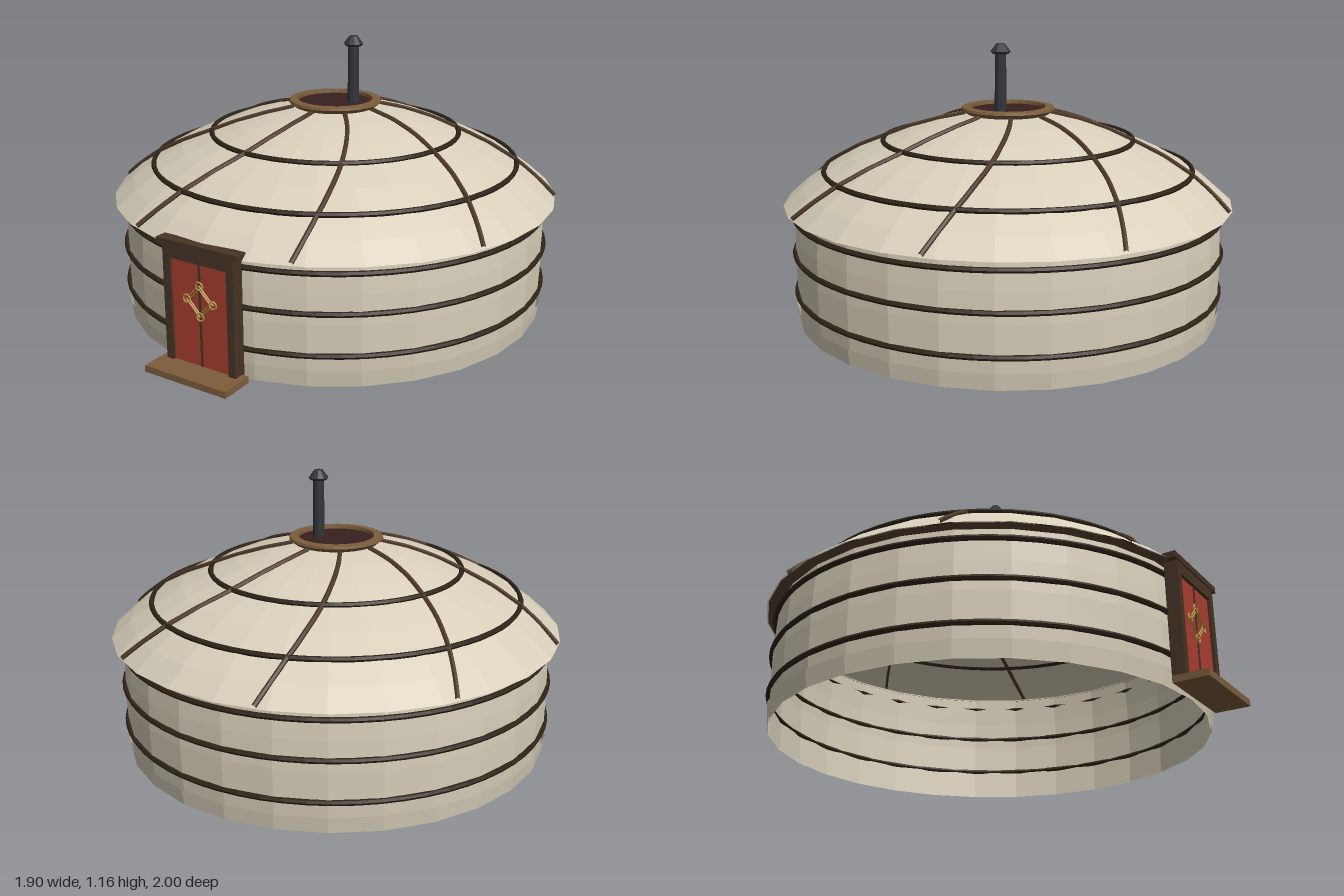
import * as THREE from 'three';

const CZ = -0.05; // tent axis, the doorstep pushes it back
const SIDES = 28;

const mat = (name, color, extra = {}) => {
  const m = new THREE.MeshStandardMaterial({ color, flatShading: true, ...extra });
  m.name = name;
  return m;
};

// roof section from crown to eave, as [radius, height]
const ROOF = [[0.16, 0.862], [0.3, 0.832], [0.42, 0.795], [0.53, 0.75], [0.66, 0.695], [0.78, 0.629], [0.87, 0.565], [0.95, 0.495]];

function roofHeight(r) {
  for (let i = 1; i < ROOF.length; i++) {
    const [r0, y0] = ROOF[i - 1], [r1, y1] = ROOF[i];
    if (r <= r1) return y0 + (y1 - y0) * (r - r0) / (r1 - r0);
  }
  return ROOF[ROOF.length - 1][1];
}

export function createModel() {
  const felt = mat('felt', 0xd8cfba, { side: THREE.DoubleSide });
  const band = mat('darkBand', 0x2e2419);
  const rope = mat('ropeBrown', 0x4c3828);
  const frameWood = mat('frameWood', 0x473425);
  const wood = mat('crownWood', 0x7d5d3c);
  const red = mat('doorRed', 0xa83e2e);
  const gold = mat('ornamentGold', 0xb08d3c);
  const iron = mat('iron', 0x33353b);
  const dark = mat('crownOpening', 0x38201f);

  const model = new THREE.Group();
  model.name = 'yurt';
  const tent = new THREE.Group();
  tent.name = 'tent';
  tent.position.z = CZ;
  model.add(tent);

  const add = (parent, name, geometry, material, x = 0, y = 0, z = 0) => {
    const mesh = new THREE.Mesh(geometry, material);
    mesh.name = name;
    mesh.position.set(x, y, z);
    parent.add(mesh);
    return mesh;
  };
  const box = (parent, name, m, [x0, x1], [y0, y1], [z0, z1]) =>
    add(parent, name, new THREE.BoxGeometry(x1 - x0, y1 - y0, z1 - z0), m,
      (x0 + x1) / 2, (y0 + y1) / 2, (z0 + z1) / 2);
  const lathe = (name, pts, m, sides = SIDES) =>
    add(tent, name, new THREE.LatheGeometry(pts.map(p => new THREE.Vector2(...p)), sides), m);

  // felt wall, slightly bulged, with a skirt at the foot
  lathe('wall', [[0.896, 0], [0.905, 0.13], [0.908, 0.25], [0.905, 0.37], [0.897, 0.5]], felt);
  lathe('skirt', [[0.902, 0], [0.912, 0.067]], felt);

  // domed roof and the wooden ring under its eave
  lathe('roof', [...ROOF].reverse(), felt);
  lathe('eaveRing', [[0.895, 0.494], [0.945, 0.494]], mat('eaveWood', 0x5c4430, { side: THREE.DoubleSide }));

  // horizontal bands round wall and roof
  const rings = [[0.907, 0.127], [0.909, 0.295], [0.907, 0.453], [0.78, 0.632], [0.53, 0.753]];
  for (const [r, y] of rings) {
    add(tent, y < 0.5 ? 'wallBand' : 'roofBand', new THREE.TorusGeometry(r, 0.011, 6, 64), band, 0, y).rotation.x = Math.PI / 2;
  }

  // eight swirling roof ropes
  for (let i = 0; i < 8; i++) {
    const pts = [];
    for (let k = 0; k <= 14; k++) {
      const r = 0.18 + 0.765 * k / 14;
      const a = i * Math.PI / 4 + (r - 0.18) * 0.51;
      pts.push(new THREE.Vector3(r * Math.sin(a), roofHeight(r) + 0.004, -r * Math.cos(a)));
    }
    add(tent, 'roofRope', new THREE.TubeGeometry(new THREE.CatmullRomCurve3(pts), 28, 0.01, 6), rope);
  }

  // crown ring with its dark opening
  lathe('crownRing', [[0.155, 0.855], [0.175, 0.86], [0.198, 0.878], [0.195, 0.888], [0.16, 0.89], [0.155, 0.855]], wood);
  add(tent, 'crownOpening', new THREE.CylinderGeometry(0.16, 0.16, 0.008, SIDES), dark, 0, 0.872);

  // stove pipe
  const pipe = new THREE.Group();
  pipe.name = 'stovePipe';
  pipe.position.set(0.075, 0, -0.075);
  model.add(pipe);
  add(pipe, 'pipe', new THREE.CylinderGeometry(0.023, 0.025, 0.26, 10), iron, 0, 1.0);
  add(pipe, 'pipeCap', new THREE.CylinderGeometry(0.018, 0.042, 0.032, 10), iron, 0, 1.144);
  add(pipe, 'pipeCapRim', new THREE.CylinderGeometry(0.042, 0.034, 0.01, 10), iron, 0, 1.123);

  // doorway
  const door = new THREE.Group();
  door.name = 'door';
  model.add(door);
  box(door, 'doorBacking', frameWood, [-0.165, 0.165], [0.02, 0.5], [0.847, 0.88]);
  for (const s of [-1, 1]) {
    box(door, 'doorPost', frameWood, s < 0 ? [-0.165, -0.133] : [0.133, 0.165], [0.02, 0.5], [0.86, 0.902]);
    box(door, 'doorLeaf', red, s < 0 ? [-0.133, -0.004] : [0.004, 0.133], [0.025, 0.447], [0.87, 0.89]);
  }
  box(door, 'doorHeader', frameWood, [-0.133, 0.133], [0.447, 0.5], [0.86, 0.902]);
  box(door, 'lintel', frameWood, [-0.19, 0.19], [0.495, 0.521], [0.855, 0.907]);
  box(door, 'doorSeam', frameWood, [-0.005, 0.005], [0.025, 0.447], [0.87, 0.893]);
  box(door, 'doorstep', wood, [-0.193, 0.193], [0, 0.027], [0.86, 1]);

  // knot ornament: nested diamonds with a loop at each corner
  const knot = new THREE.Group();
  knot.name = 'doorOrnament';
  knot.position.set(0, 0.295, 0.893);
  door.add(knot);
  for (const r of [0.064, 0.05]) add(knot, 'diamond', new THREE.TorusGeometry(r, 0.004, 4, 4), gold);
  for (let i = 0; i < 4; i++) {
    const a = i * Math.PI / 2;
    add(knot, 'loop', new THREE.TorusGeometry(0.016, 0.004, 4, 12), gold, 0.062 * Math.cos(a), 0.062 * Math.sin(a));
  }
  return model;
}
